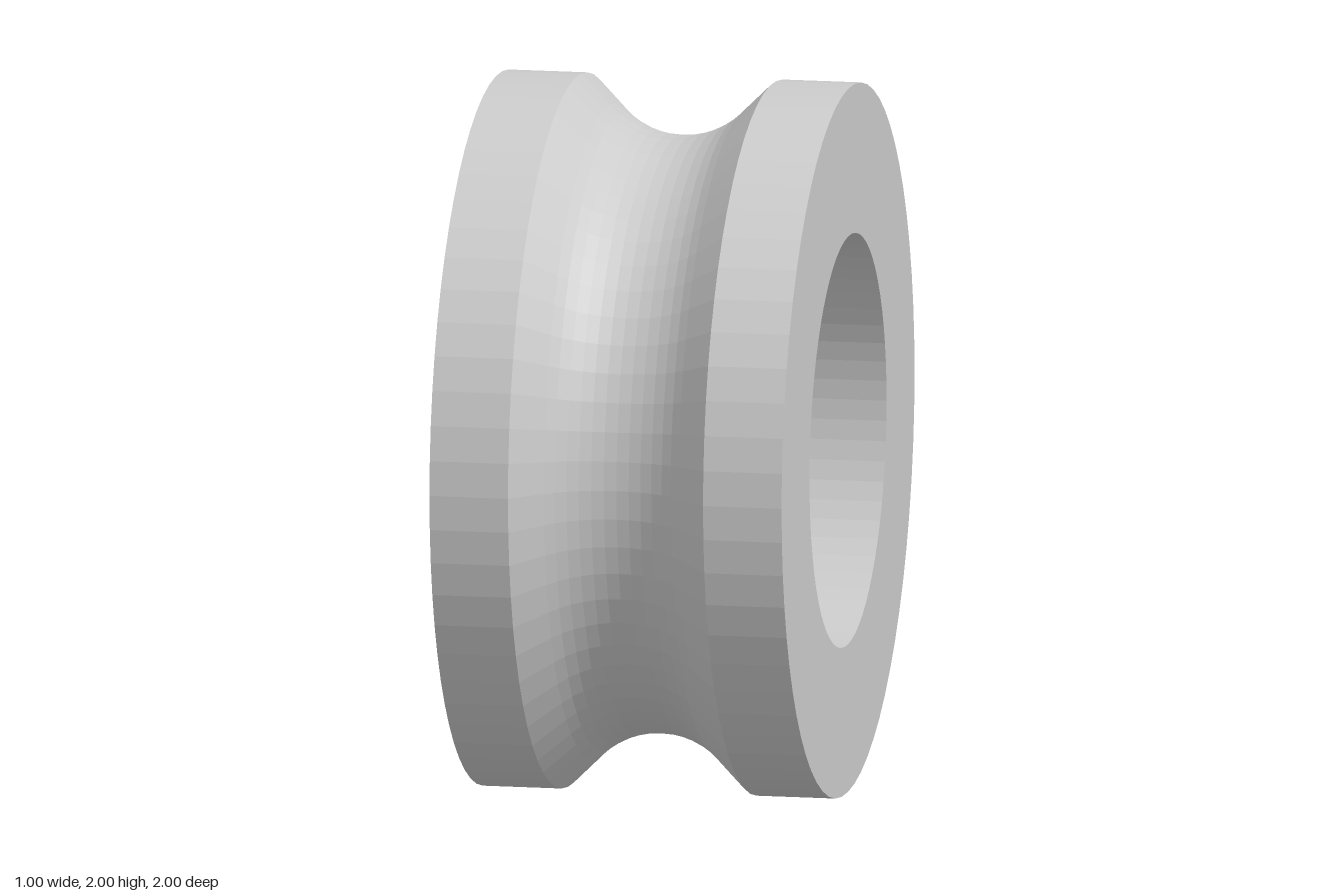
import * as THREE from 'three';

export function createModel() {
  const group = new THREE.Group();
  const halfWidth = 0.5, rimRadius = 1, boreRadius = 0.58;
  const grooveHalf = 0.277, grooveBottom = 0.836, arcRadius = 0.27;

  // Closed cross-section: x is the radius, y runs along the axle
  const points = [
    [boreRadius, -halfWidth],
    [rimRadius, -halfWidth],
    [rimRadius, -grooveHalf],
  ];
  // Rounded groove bottom between two 45 degree flanks
  const steps = 12;
  for (let i = 0; i <= steps; i++) {
    const a = (i / steps - 0.5) * Math.PI / 2;
    points.push([grooveBottom + arcRadius * (1 - Math.cos(a)), arcRadius * Math.sin(a)]);
  }
  points.push(
    [rimRadius, grooveHalf],
    [rimRadius, halfWidth],
    [boreRadius, halfWidth],
    [boreRadius, -halfWidth],
  );

  const geometry = new THREE.LatheGeometry(points.map(([r, y]) => new THREE.Vector2(r, y)), 64);
  geometry.rotateZ(-Math.PI / 2); // lay the axle along x
  geometry.translate(0, rimRadius, 0);

  const material = new THREE.MeshStandardMaterial({ color: 0xcccccc, flatShading: true });
  const wheel = new THREE.Mesh(geometry, material);
  wheel.name = 'groovedPulleyWheel';
  group.add(wheel);
  group.name = 'pulley';
  return group;
}
